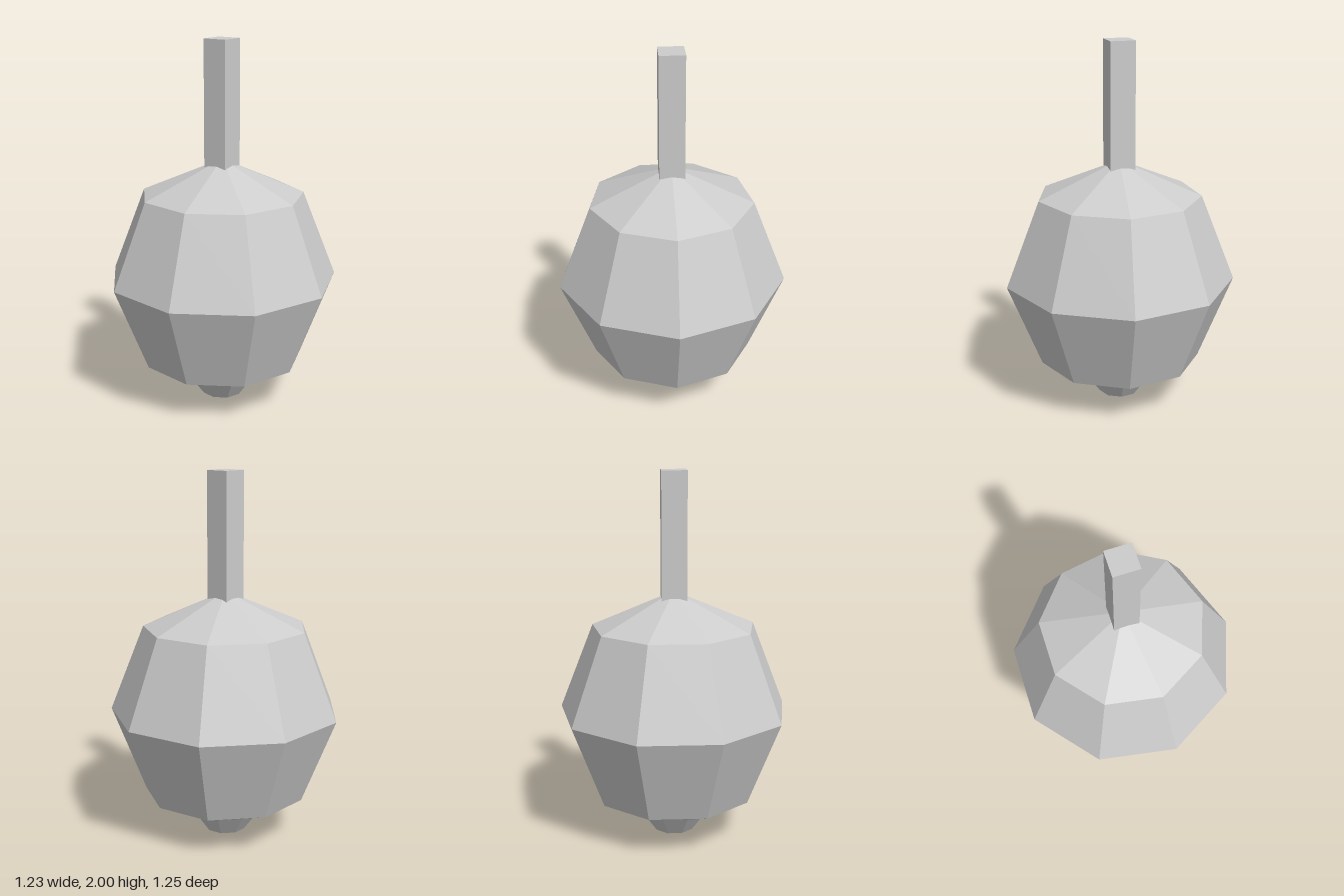
import * as THREE from 'three';

const SIDES = 9;

export function createModel() {
  const group = new THREE.Group();
  const grey = new THREE.MeshStandardMaterial({ color: 0xcccccc, flatShading: true });
  grey.name = 'light grey';

  function add(name, geometry, y) {
    const mesh = new THREE.Mesh(geometry, grey);
    mesh.name = name;
    mesh.position.set(-0.02, y, 0);
    group.add(mesh);
    return mesh;
  }

  // Nine-sided faceted body, slightly stretched upward, one corner towards +x
  const body = add('body', new THREE.SphereGeometry(0.634, SIDES, 4, Math.PI), 0.695);
  body.scale.y = 1.05;

  // Tapered foot, its top sunk into the body
  add('foot', new THREE.CylinderGeometry(0.209, 0.115, 0.13, SIDES, 1, false, Math.PI / 2), 0.065);

  // Square stem, its lower end sunk into the body
  add('stem', new THREE.BoxGeometry(0.137, 0.75, 0.137), 1.625);

  return group;
}
